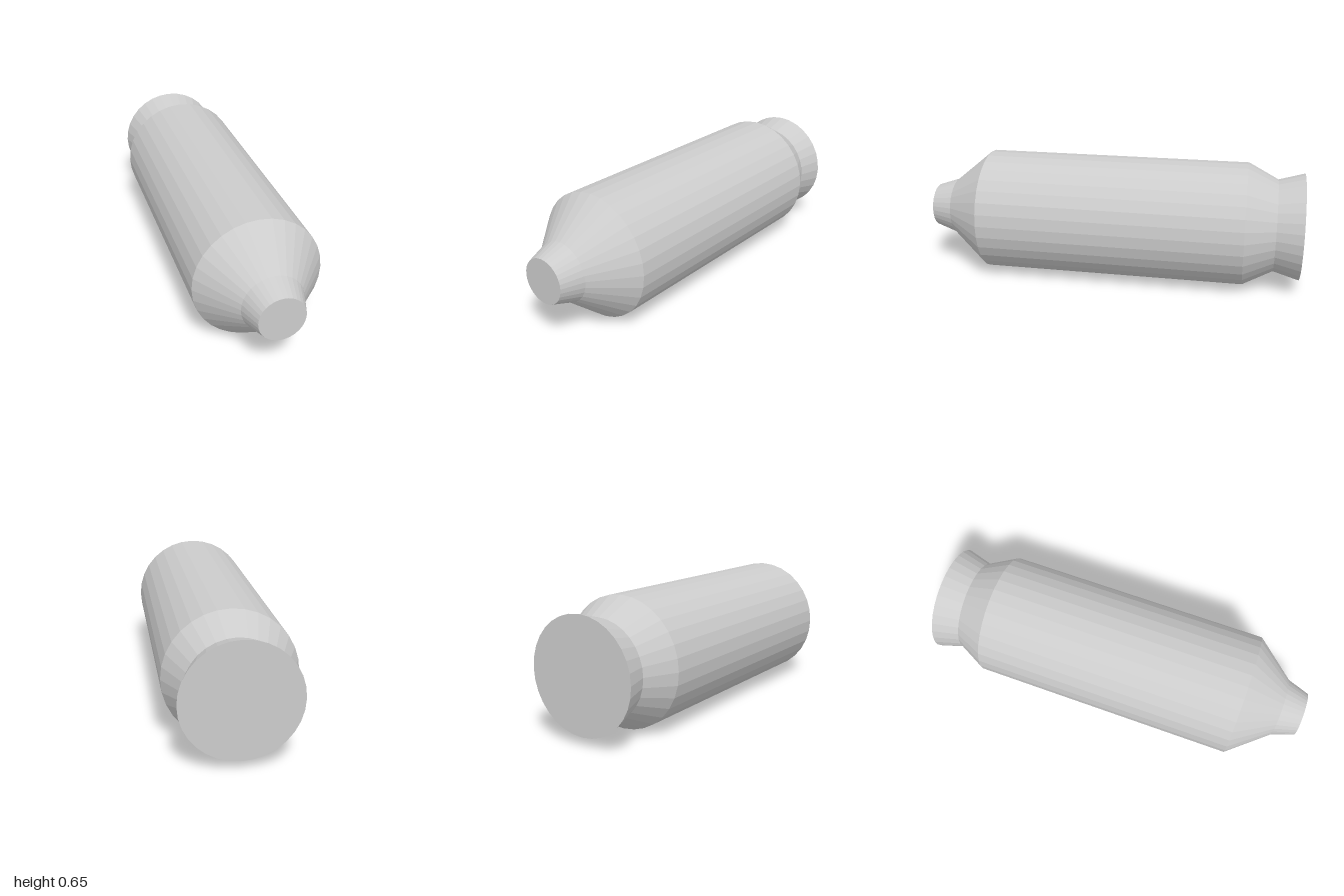
import * as THREE from 'three';

const SIDES = 32;
const RADIUS = 0.323;

export function createModel() {
  const model = new THREE.Group();
  model.name = 'canister';
  const material = new THREE.MeshStandardMaterial({ color: 0xcccccc, flatShading: true });

  function add(name, geometry, z) {
    const mesh = new THREE.Mesh(geometry, material);
    mesh.name = name;
    mesh.position.set(0, RADIUS, z);
    model.add(mesh);
    return mesh;
  }

  // Open faceted ring running along z from back to front
  function section(name, zBack, rBack, zFront, rFront) {
    const geometry = new THREE.CylinderGeometry(rFront, rBack, zFront - zBack, SIDES, 1, true);
    geometry.rotateX(Math.PI / 2);
    add(name, geometry, (zBack + zFront) / 2);
  }

  // Body sections, back to front
  section('rearFlare', -1, 0.28, -0.866, 0.242);
  section('rearTaper', -0.866, 0.242, -0.711, RADIUS);
  section('body', -0.711, RADIUS, 0.678, RADIUS);
  section('frontTaper', 0.678, RADIUS, 0.884, 0.153);
  section('nozzle', 0.884, 0.153, 1, 0.114);

  // Flat end caps
  add('frontCap', new THREE.CircleGeometry(0.114, SIDES), 1);
  add('rearCap', new THREE.CircleGeometry(0.28, SIDES), -1).rotation.y = Math.PI;

  return model;
}
